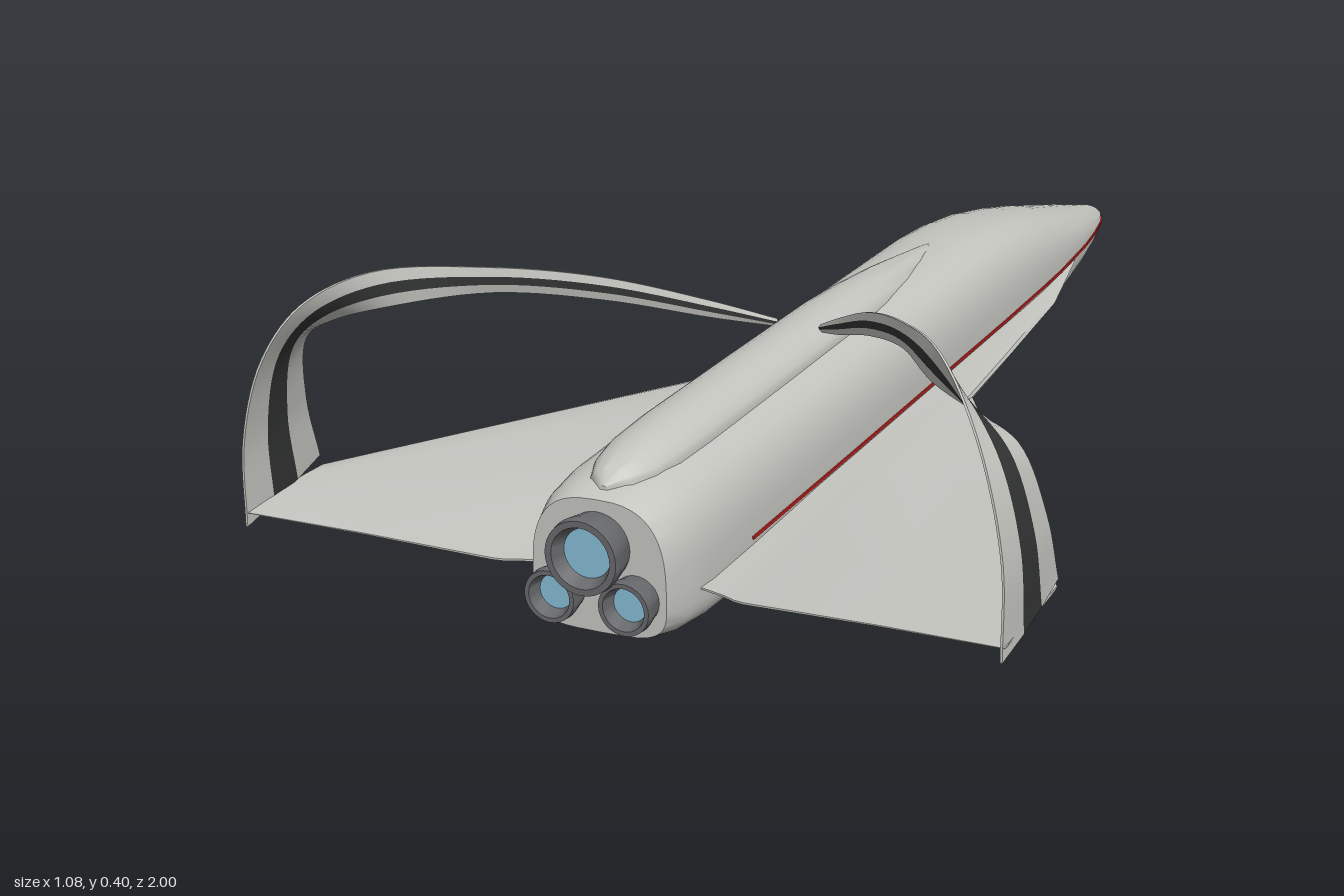
import * as THREE from 'three';
import { toCreasedNormals } from 'three/addons/utils/BufferGeometryUtils.js';

const material = (name, color, side = THREE.FrontSide) =>
  Object.assign(new THREE.MeshStandardMaterial({ color, side }), { name });
const V = (x, y, z) => new THREE.Vector3(x, y, z);

// Skin a list of closed rings, cap both ends, and turn the faces outward
function loft(rings, crease = 0.6) {
  const n = rings[0].length, tris = [];
  for (let i = 0; i + 1 < rings.length; i++) {
    for (let j = 0; j < n; j++) {
      const k = (j + 1) % n, a = rings[i], b = rings[i + 1];
      tris.push([a[j], a[k], b[k]], [a[j], b[k], b[j]]);
    }
  }
  for (const [ring, flip] of [[rings[0], true], [rings[rings.length - 1], false]]) {
    const c = ring.reduce((s, p) => s.add(p), V(0, 0, 0)).divideScalar(n);
    for (let j = 0; j < n; j++) {
      const k = (j + 1) % n;
      tris.push(flip ? [c, ring[k], ring[j]] : [c, ring[j], ring[k]]);
    }
  }
  const volume = tris.reduce((s, [a, b, c]) => s + a.dot(b.clone().cross(c)), 0);
  const points = tris.flatMap(([a, b, c]) => (volume < 0 ? [a, c, b] : [a, b, c]));
  return toCreasedNormals(new THREE.BufferGeometry().setFromPoints(points), crease);
}

// Smooth curve through rows of three values
const sample = (rows, count) =>
  new THREE.CatmullRomCurve3(rows.map((r) => V(...r)), false, 'centripetal');

// Fuselage stations: z, half width, bottom, top, height of widest line
const STATIONS = [
  [-1, 0.004, 0.034, 0.044, 0.039], [-0.99, 0.016, 0.029, 0.052, 0.04],
  [-0.96, 0.031, 0.026, 0.063, 0.043], [-0.9, 0.05, 0.024, 0.079, 0.049],
  [-0.8, 0.071, 0.021, 0.105, 0.058], [-0.7, 0.087, 0.018, 0.13, 0.065],
  [-0.6, 0.098, 0.015, 0.155, 0.071], [-0.5, 0.107, 0.01, 0.177, 0.075],
  [-0.4, 0.112, 0.006, 0.195, 0.078], [-0.3, 0.114, 0.002, 0.207, 0.079],
  [-0.2, 0.115, 0, 0.213, 0.079], [0, 0.115, 0, 0.214, 0.079],
  [0.4, 0.115, 0, 0.214, 0.079], [0.75, 0.114, 0, 0.213, 0.079],
  [0.86, 0.112, 0.004, 0.211, 0.079], [0.92, 0.105, 0.009, 0.205, 0.079],
  [0.955, 0.094, 0.016, 0.195, 0.079],
];

function fuselageRing([z, w, bottom, top, mid]) {
  const f = THREE.MathUtils.smoothstep(z, -1, -0.3);
  return Array.from({ length: 48 }, (_, i) => {
    const a = (i / 48) * Math.PI * 2, c = Math.cos(a), s = Math.sin(a);
    const p = 2 / (s < 0 ? 2.2 + 1.8 * f : 2.1 + 0.7 * f);
    return V(w * Math.sign(c) * Math.abs(c) ** p,
      mid + (s < 0 ? mid - bottom : top - mid) * Math.sign(s) * Math.abs(s) ** p, z);
  });
}

// Spine stations: z, half width, height above its base line
const SPINE = [
  [-0.16, 0.003, 0.013], [-0.13, 0.014, 0.016], [-0.06, 0.028, 0.022], [0.03, 0.041, 0.03],
  [0.14, 0.051, 0.037], [0.25, 0.056, 0.041], [0.5, 0.057, 0.042], [0.75, 0.057, 0.042],
  [0.83, 0.054, 0.039], [0.88, 0.045, 0.032], [0.915, 0.03, 0.022], [0.935, 0.005, 0.006],
];

// Wing stations: x, leading z, trailing z, mid height, half thickness
const WING = [
  [0.06, -0.72, 0.885, 0.067, 0.009], [0.1, -0.6, 0.887, 0.067, 0.009],
  [0.145, -0.36, 0.9, 0.067, 0.009], [0.165, -0.1, 0.91, 0.068, 0.009],
  [0.18, 0.12, 0.914, 0.069, 0.009], [0.36, 0.445, 0.93, 0.08, 0.006],
  [0.535, 0.76, 0.948, 0.089, 0.003],
];
const AIRFOIL = [[0, 0], [0.04, 0.6], [0.25, 1], [0.75, 0.9], [1, 0.15], [1, -0.15],
  [0.75, -0.9], [0.25, -1], [0.04, -0.6]];

// Rear/upper and front/lower edges of the arched tip fin
const REAR_EDGE = [[0.531, 0.07, 0.95], [0.529, 0.19, 0.945], [0.502, 0.3, 0.93],
  [0.46, 0.37, 0.895], [0.4, 0.402, 0.825], [0.3, 0.382, 0.69], [0.2, 0.342, 0.56],
  [0.1, 0.281, 0.43], [0.035, 0.238, 0.35]];
const FRONT_EDGE = [[0.538, 0.105, 0.77], [0.532, 0.2, 0.8], [0.504, 0.3, 0.828],
  [0.455, 0.333, 0.835], [0.39, 0.35, 0.805], [0.3, 0.345, 0.685], [0.2, 0.308, 0.557],
  [0.1, 0.256, 0.43], [0.035, 0.226, 0.35]];

// One lengthwise band of the fin, between width fractions u0 and u1
function finBand(side, u0, u1) {
  const rear = sample(REAR_EDGE), front = sample(FRONT_EDGE), rings = [];
  const steps = 56;
  for (let i = 0; i <= steps; i++) {
    const t = i / steps, a = rear.getPoint(t), b = front.getPoint(t);
    const normal = rear.getTangent(t).cross(b.clone().sub(a)).normalize();
    const at = (u, dir) => a.clone().lerp(b, u)
      .addScaledVector(normal, dir * (0.0015 + 0.003 * Math.sin(Math.PI * u)));
    rings.push([at(u0, 1), at(u1, 1), at(u1, -1), at(u0, -1)].map((p) => V(p.x * side, p.y, p.z)));
  }
  return loft(rings, 0.5);
}

export function createModel() {
  const grey = material('hull grey', 0xc6c6c1);
  const black = material('stripe black', 0x333534);
  const red = material('stripe red', 0xc4221f);
  const steel = material('nozzle grey', 0x68696c, THREE.DoubleSide);
  const blue = material('engine glow blue', 0x86bbd4);

  const model = new THREE.Group();
  model.name = 'spaceplane';
  const add = (name, geometry, mat, parent = model) => {
    const mesh = new THREE.Mesh(geometry, mat);
    mesh.name = name;
    parent.add(mesh);
    return mesh;
  };

  add('fuselage', loft(STATIONS.map(fuselageRing), 0.7), grey);

  // Raised fairing along the back
  add('spineFairing', loft(SPINE.map(([z, w, h]) => Array.from({ length: 28 }, (_, i) => {
    const a = (i / 28) * Math.PI * 2, s = Math.sin(a);
    return V(w * Math.cos(a), 0.2 + s * (s > 0 ? h : Math.min(h, 0.02)), z);
  })), 0.8), grey);

  for (const [label, side] of [['left', 1], ['right', -1]]) {
    // Delta wing with its forward strake
    add(label + 'Wing', loft(WING.map(([x, lead, trail, y, h]) => AIRFOIL.map(([c, t]) =>
      V(x * side, y + t * h, THREE.MathUtils.lerp(lead, trail, c)))), 0.5), grey);

    // Thin stripe along the flank
    add(label + 'FlankStripe', loft(STATIONS.slice(2, 14).map(([z, w, , , mid]) =>
      [[-0.004, -0.0005], [0.002, -0.0005], [0.002, 0.004], [-0.004, 0.004]].map(([dx, dy]) =>
        V((w + dx) * side, mid + dy, z)))), red);

    // Arched tip fin with a dark centre band
    const fin = new THREE.Group();
    fin.name = label + 'ArchedFin';
    model.add(fin);
    add('rearBand', finBand(side, 0, 0.34), grey, fin);
    add('centreBand', finBand(side, 0.34, 0.66), black, fin);
    add('frontBand', finBand(side, 0.66, 1), grey, fin);
  }

  // Engine cluster
  for (const [name, x, y, r, end] of [['upperEngine', 0, 0.134, 0.051, 1],
    ['leftEngine', 0.052, 0.07, 0.036, 0.99], ['rightEngine', -0.052, 0.07, 0.036, 0.99]]) {
    const engine = new THREE.Group();
    engine.name = name;
    engine.position.set(x, y, 0);
    model.add(engine);
    const profile = [[0.8, 0.93], [0.9, 0.96], [1, end - 0.012], [0.97, end], [0.8, end],
      [0.64, end - 0.02]].map(([k, z]) => new THREE.Vector2(k * r, z));
    const bell = toCreasedNormals(new THREE.LatheGeometry(profile, 32).rotateX(Math.PI / 2), 0.5);
    add('nozzle', bell, steel, engine);
    add('glow', new THREE.CircleGeometry(r * 0.66, 32), blue, engine).position.z = end - 0.019;
  }
  return model;
}
